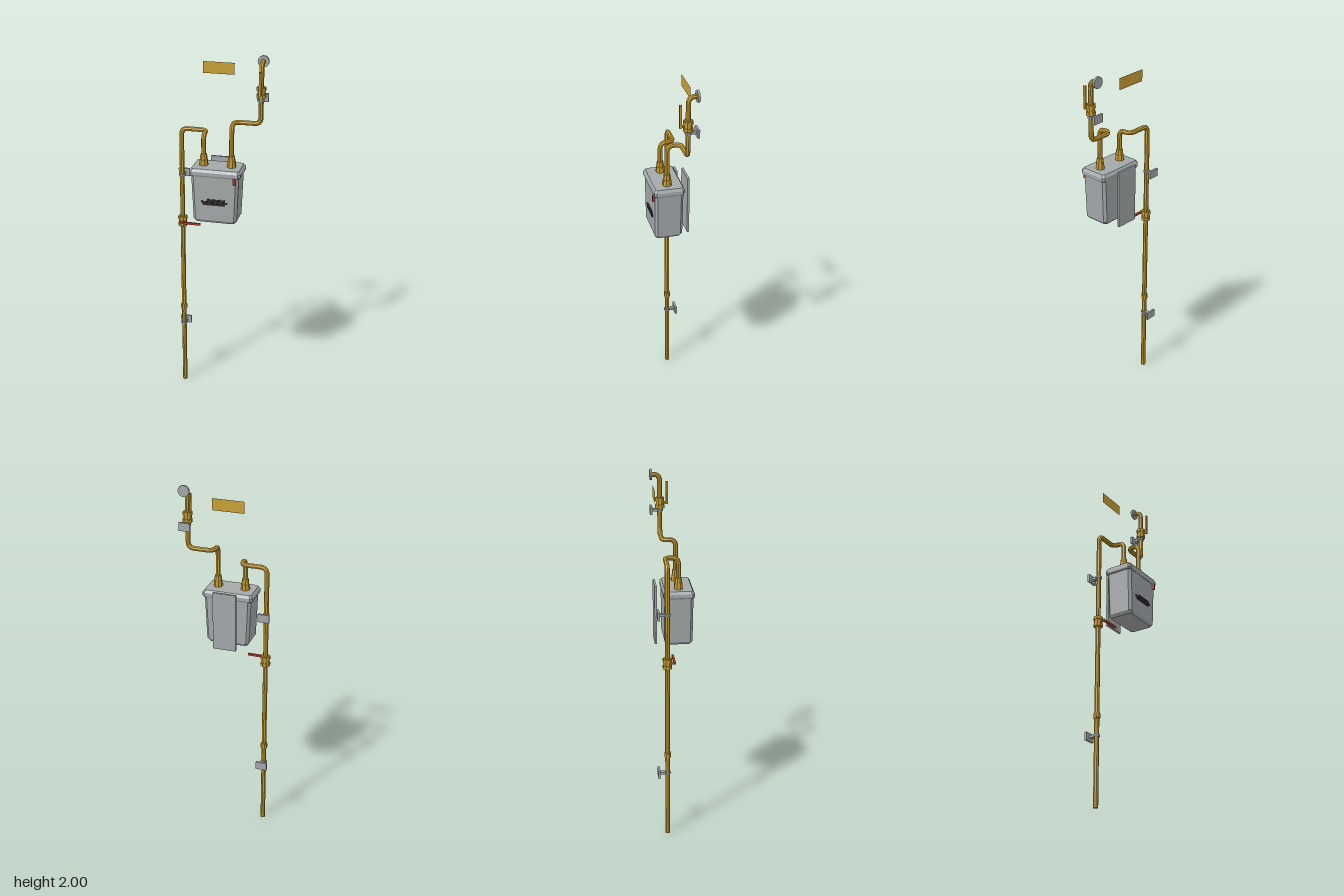
import * as THREE from 'three';

const mat = (name, color) => {
  const m = new THREE.MeshStandardMaterial({ color });
  m.name = name;
  return m;
};

// Give every facet its own normal
function faceted(geometry) {
  const g = geometry.index ? geometry.toNonIndexed() : geometry;
  g.computeVertexNormals();
  return g;
}

// Stack of chamfered rectangles: each level is [y, halfWidth, halfDepth, chamfer]
function chamferedStack(levels) {
  const pos = [], index = [], top = levels.length - 1;
  for (const [y, w, d, c] of levels) {
    const ring = [[w, d - c], [w - c, d], [c - w, d], [-w, d - c], [-w, c - d], [c - w, -d], [w - c, -d], [w, c - d]];
    for (const [x, z] of ring) pos.push(x, y, z);
  }
  for (let l = 0; l < top; l++) {
    for (let i = 0; i < 8; i++) {
      const a = l * 8 + i, b = l * 8 + (i + 1) % 8;
      index.push(a, a + 8, b, b, a + 8, b + 8);
    }
  }
  for (let i = 1; i < 7; i++) {
    index.push(0, i, i + 1);
    index.push(top * 8, top * 8 + i + 1, top * 8 + i);
  }
  const g = new THREE.BufferGeometry();
  g.setAttribute('position', new THREE.Float32BufferAttribute(pos, 3));
  g.setIndex(index);
  return faceted(g);
}

// Polyline with rounded corners, swept into an eight-sided pipe
function pipeGeometry(points, bend, radius, segments) {
  const p = points.map(a => new THREE.Vector3(...a));
  const path = new THREE.CurvePath();
  let from = p[0];
  for (let i = 1; i < p.length - 1; i++) {
    const into = p[i - 1].clone().sub(p[i]).setLength(bend).add(p[i]);
    const out = p[i + 1].clone().sub(p[i]).setLength(bend).add(p[i]);
    path.add(new THREE.LineCurve3(from, into));
    path.add(new THREE.QuadraticBezierCurve3(into, p[i], out));
    from = out;
  }
  path.add(new THREE.LineCurve3(from, p[p.length - 1]));
  return faceted(new THREE.TubeGeometry(path, segments, radius, 8, false));
}

export function createModel() {
  const gold = mat('gold pipe', 0xc49a2c);
  const grey = mat('grey metal', 0xa3a8aa);
  const red = mat('red handle', 0xb83c30);
  const dark = mat('dark marking', 0x2b2d2f);
  const signGold = mat('gold sign', 0xc8a034);
  signGold.side = THREE.DoubleSide;

  const model = new THREE.Group();
  model.name = 'gasMeter';
  const add = (name, geometry, material, x = 0, y = 0, z = 0) => {
    const m = new THREE.Mesh(geometry, material);
    m.name = name;
    m.position.set(x, y, z);
    model.add(m);
    return m;
  };
  const box = (name, material, w, h, d, x, y, z) =>
    add(name, new THREE.BoxGeometry(w, h, d), material, x, y, z);
  const drum = (name, material, rTop, rBottom, h, x, y, z) =>
    add(name, faceted(new THREE.CylinderGeometry(rTop, rBottom, h, 8).rotateY(Math.PI / 8)), material, x, y, z);

  const pipeX = 0.219, pipeZ = -0.055, wallZ = -0.103, portX = 0.077, portZ = 0.018, r = 0.0135;

  // Meter case and lid
  add('meterBody', chamferedStack([
    [1.106, 0.108, 0.066, 0.012],
    [1.122, 0.12, 0.076, 0.014],
    [1.375, 0.131, 0.078, 0.014],
  ]), grey, 0, 0, 0.017);
  add('meterLid', chamferedStack([
    [1.372, 0.136, 0.08, 0.012],
    [1.38, 0.141, 0.084, 0.012],
    [1.398, 0.141, 0.084, 0.012],
    [1.413, 0.131, 0.074, 0.01],
  ]), grey, 0, 0, 0.017);
  box('backPlate', grey, 0.13, 0.33, 0.012, 0, 1.26, wallZ);
  box('meterTag', red, 0.013, 0.035, 0.012, 0.109, 1.358, 0.1);

  // Plain dark marking on the front of the case
  [[0.10, 1.24, 0.01], [0.145, 1.228, 0], [0.12, 1.216, -0.005]].forEach(([w, y, x]) =>
    box('frontMarking', dark, w, 0.011, 0.008, x, y, 0.093));

  // Inlet pipe: from the left port, back, across and down to the ground
  add('inletPipe', pipeGeometry([
    [-portX, 1.41, portZ], [-portX, 1.585, portZ], [-portX, 1.585, pipeZ],
    [-pipeX, 1.585, pipeZ], [-pipeX, 0, pipeZ],
  ], 0.036, r, 170), gold);
  add('inletPipeEnd', new THREE.CircleGeometry(r, 8).rotateX(Math.PI / 2), gold, -pipeX, 0.001, pipeZ);

  // Outlet pipe: from the right port, back, across, up and into the wall
  add('outletPipe', pipeGeometry([
    [portX, 1.41, portZ], [portX, 1.642, portZ], [portX, 1.642, pipeZ],
    [pipeX, 1.642, pipeZ], [pipeX, 1.97, pipeZ], [pipeX, 1.97, wallZ],
  ], 0.036, r, 110), gold);
  add('wallFlange', faceted(new THREE.CylinderGeometry(0.031, 0.031, 0.012, 16).rotateX(Math.PI / 2)),
    grey, pipeX, 1.97, wallZ);

  // Port unions on the lid
  for (const side of [-1, 1]) {
    drum('portNut', gold, 0.023, 0.025, 0.034, side * portX, 1.428, portZ);
    drum('portCollar', gold, 0.018, 0.021, 0.032, side * portX, 1.46, portZ);
  }

  // Pipe coupling
  drum('couplingCore', gold, 0.019, 0.019, 0.022, -pipeX, 0.495, pipeZ);
  drum('couplingRim', gold, 0.0165, 0.0165, 0.036, -pipeX, 0.495, pipeZ);

  // Valves with a stem towards the front
  for (const [x, y] of [[-pipeX, 1.04], [pipeX, 1.815]]) {
    drum('valveBody', gold, 0.022, 0.022, 0.062, x, y, pipeZ);
    for (const dy of [-0.019, 0.019]) drum('valveNut', gold, 0.0265, 0.0265, 0.018, x, y + dy, pipeZ);
    const stem = drum('valveStem', gold, 0.007, 0.007, 0.04, x, y, pipeZ + 0.025);
    stem.rotation.x = Math.PI / 2;
  }
  box('inletValveHandle', red, 0.118, 0.011, 0.012, -0.167, 1.042, -0.016);
  box('outletValveHandle', gold, 0.012, 0.125, 0.012, pipeX, 1.868, -0.015);

  // Wall brackets with a clamp ring around the pipe
  for (const [x, y] of [[-pipeX, 0.385], [-pipeX, 1.315], [pipeX, 1.775]]) {
    box('bracketPlate', grey, 0.063, 0.045, 0.012, x, y, wallZ);
    box('bracketArm', grey, 0.021, 0.014, 0.04, x, y, -0.083);
    drum('bracketRing', grey, 0.018, 0.018, 0.012, x, y, pipeZ);
  }

  // Flat sign on the wall
  add('wallSign', new THREE.PlaneGeometry(0.174, 0.064), signGold, -0.024, 1.918, -0.107);

  return model;
}
